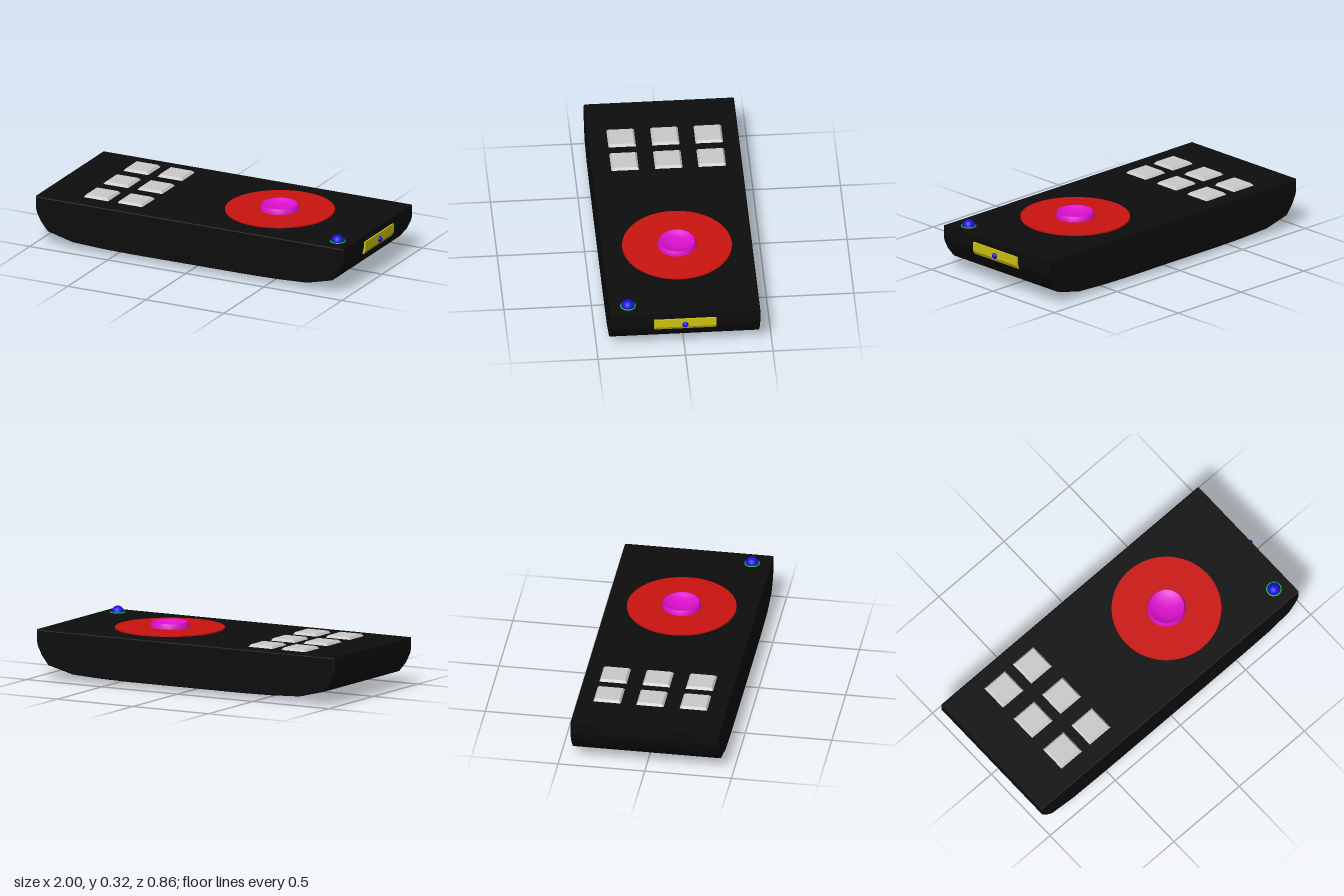
import * as THREE from 'three';

const mat = (color, side = THREE.FrontSide) => new THREE.MeshStandardMaterial({ color, side });
const BLACK = 0x0d0d0d, RED = 0xcc1410, PINK = 0xdd10cc, BLUE = 0x1810dd, YELLOW = 0xd0c410, GREEN = 0x10c020;

// Extrudes an x-y outline along z, centred on z = 0
function slab(points, depth, bevel = 0) {
  const shape = new THREE.Shape(points.map(([x, y]) => new THREE.Vector2(x, y)));
  const geo = new THREE.ExtrudeGeometry(shape, {
    depth: depth - 2 * bevel, bevelEnabled: bevel > 0, bevelThickness: bevel,
    bevelSize: bevel, bevelOffset: -bevel, bevelSegments: 2,
  });
  return geo.translate(0, 0, -depth / 2 + bevel);
}

const lathe = (pts, segments = 48) =>
  new THREE.LatheGeometry(pts.map(([r, y]) => new THREE.Vector2(r, y)), segments);

export function createModel() {
  const model = new THREE.Group();
  function add(name, geo, material, x = 0, y = 0, z = 0, parent = model) {
    const mesh = new THREE.Mesh(geo, material);
    mesh.name = name;
    mesh.position.set(x, y, z);
    parent.add(mesh);
    return mesh;
  }

  // Case: flat top, boat-shaped underside mirrored about its centre
  const half = [[0.38, 0.028], [0.56, 0.031], [0.75, 0.04], [0.91, 0.08], [0.955, 0.135],
    [0.98, 0.185], [0.9875, 0.215], [0.9875, 0.282]];
  const outline = [...half, ...half.map(([x, y]) => [-x, y]).reverse()];
  add('case', slab(outline, 0.86, 0.007), mat(BLACK), -0.0125);

  // Keypad: two columns of three bevelled keys
  const keypad = new THREE.Group();
  keypad.name = 'keypad';
  model.add(keypad);
  const keyGeo = new THREE.CylinderGeometry(0.068 * Math.SQRT2, 0.082 * Math.SQRT2, 0.018, 4, 1)
    .rotateY(Math.PI / 4).toNonIndexed();
  keyGeo.computeVertexNormals();
  for (const x of [-0.67, -0.452])
    for (const z of [-0.258, -0.01, 0.24]) add('key', keyGeo, mat(0xcccccc), x, 0.287, z, keypad);

  // Control disc and the dished thumb pad at its centre
  add('controlDisc', new THREE.CylinderGeometry(0.313, 0.313, 0.012, 64), mat(RED), 0.345, 0.284, -0.001);
  const pad = [[0.112, 0.285], [0.111, 0.296], [0.104, 0.32], [0.099, 0.32], [0.086, 0.31],
    [0.065, 0.301], [0.035, 0.295], [0, 0.293]];
  add('thumbPad', lathe(pad), mat(PINK, THREE.DoubleSide), 0.345, 0, -0.001);

  // Indicator light in its ring
  add('indicatorLight', new THREE.SphereGeometry(0.038, 32, 20), mat(BLUE), 0.88, 0.282, 0.32);
  add('indicatorRing', new THREE.TorusGeometry(0.041, 0.004, 8, 40).rotateX(Math.PI / 2),
    mat(GREEN), 0.88, 0.282, 0.32);

  // Emitter window on the end, following the wall's bend
  const windowOutline = [[0.95, 0.175], [0.974, 0.175], [0.984, 0.195], [0.984, 0.247], [0.95, 0.247]];
  add('emitterWindow', slab(windowOutline, 0.355), mat(YELLOW));
  add('emitter', new THREE.SphereGeometry(0.018, 24, 16), mat(BLUE), 0.982, 0.21, 0);

  // Hooked latch of the battery cover underneath
  const hook = [[-0.54, 0.036], [-0.498, 0.036], [-0.498, 0.012], [-0.507, 0.001], [-0.525, 0],
    [-0.525, 0.007], [-0.511, 0.008], [-0.506, 0.014], [-0.506, 0.028], [-0.54, 0.028]];
  add('batteryLatch', slab(hook, 0.138), mat(BLACK), 0, 0, 0.004);

  return model;
}
